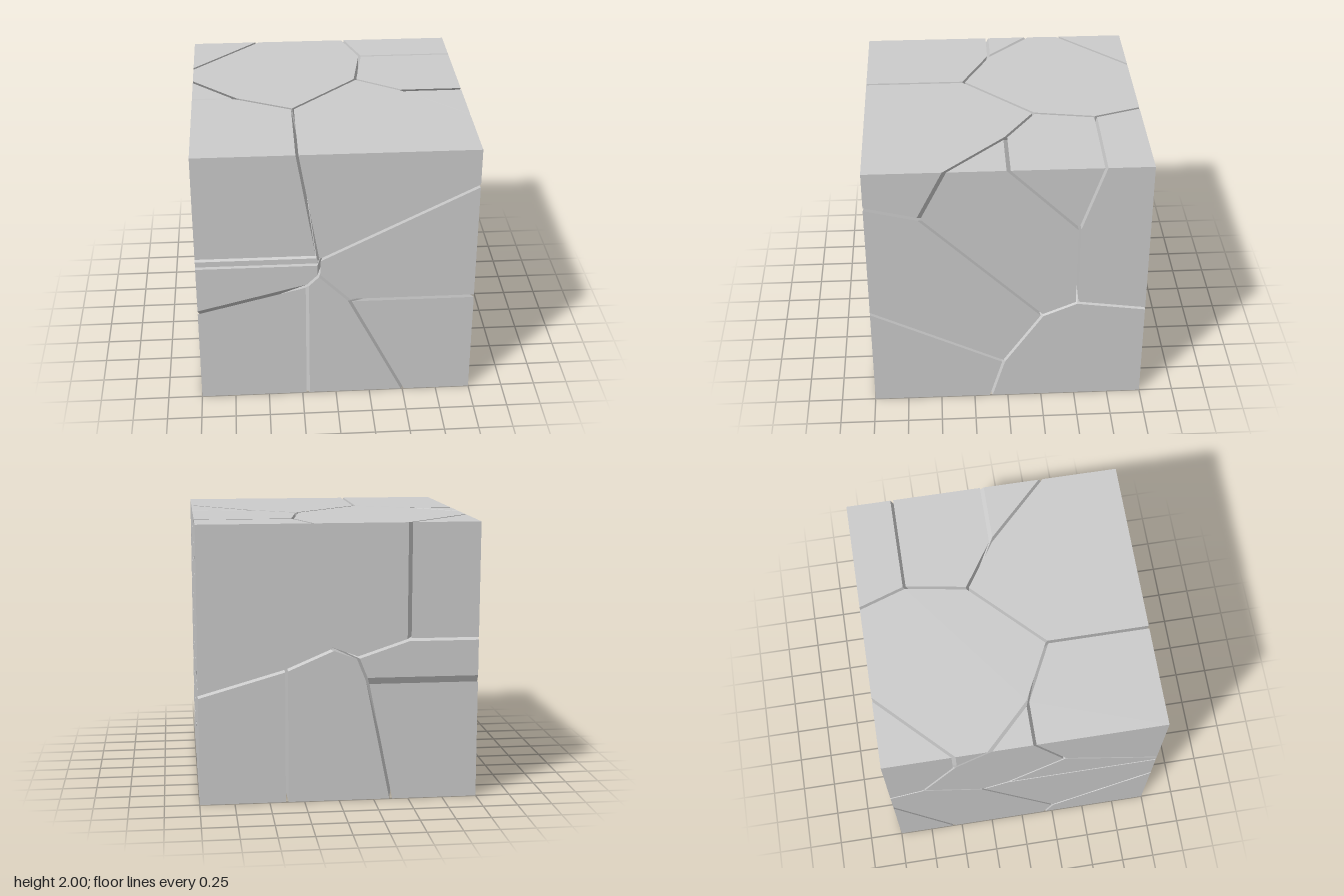
import * as THREE from 'three';

const GRID = 0.25; // block centres sit on a quarter-unit lattice
const GAP = 0.02; // width of the cracks

// Centre of each block, in lattice steps
const blocks = {
  topFrontRightBlock: [-4, 7, 2],
  topFrontLeftBlock: [2, 8, 2],
  topCentreBlock: [-2, 8, -2],
  topBackRightBlock: [-4, 8, -4],
  topBackLeftBlock: [4, 7, -4],
  topLeftWedge: [4, 8, -1],
  topRightWedge: [-4, 6, 0],
  middleLeftBlock: [4, 7, 0],
  middleFrontLeftBlock: [4, 4, 3],
  middleFrontRightBlock: [-4, 4, 1],
  middleRightSliver: [-4, 5, 1],
  middleBackRightBlock: [-4, 2, -2],
  bottomFrontLeftBlock: [4, 2, 4],
  bottomFrontBlock: [0, 0, 2],
  bottomFrontRightBlock: [-3, 0, 4],
  bottomBackLeftBlock: [2, 0, -3],
  bottomBackBlock: [1, 0, -3],
  bottomBackRightBlock: [-4, 1, -4],
};

const vec = (a) => new THREE.Vector3(...a);

// Outer faces of the cube; the inside is where normal . p <= d
const cubePlanes = [
  { n: vec([1, 0, 0]), d: 1 }, { n: vec([-1, 0, 0]), d: 1 },
  { n: vec([0, 1, 0]), d: 2 }, { n: vec([0, -1, 0]), d: 0 },
  { n: vec([0, 0, 1]), d: 1 }, { n: vec([0, 0, -1]), d: 1 },
];

// Crack face of one block: halfway to its neighbour, set back by half the gap
function crackPlane(seed, other) {
  const n = other.clone().sub(seed).normalize();
  const mid = seed.clone().add(other).multiplyScalar(0.5);
  return { n, d: n.dot(mid) - GAP / 2 };
}

// Point shared by three planes, or null if they do not meet in one point
function meet(a, b, c) {
  const bc = b.n.clone().cross(c.n);
  const det = a.n.dot(bc);
  if (Math.abs(det) < 1e-6) return null;
  return bc.multiplyScalar(a.d)
    .addScaledVector(c.n.clone().cross(a.n), b.d)
    .addScaledVector(a.n.clone().cross(b.n), c.d)
    .divideScalar(det);
}

// Corners of the convex solid bounded by the planes
function findCorners(planes) {
  const corners = [];
  for (let i = 0; i < planes.length; i++)
    for (let j = i + 1; j < planes.length; j++)
      for (let k = j + 1; k < planes.length; k++) {
        const p = meet(planes[i], planes[j], planes[k]);
        if (!p || planes.some(({ n, d }) => n.dot(p) > d + 1e-6)) continue;
        if (!corners.some((q) => q.distanceTo(p) < 1e-5)) corners.push(p);
      }
  return corners;
}

// Each plane's corners are sorted around its normal and filled as a fan
function solidFromPlanes(planes) {
  const corners = findCorners(planes);
  const positions = [];
  for (const { n, d } of planes) {
    const ring = corners.filter((p) => Math.abs(n.dot(p) - d) < 1e-5);
    if (ring.length < 3) continue;
    const centre = ring.reduce((s, p) => s.add(p), new THREE.Vector3()).divideScalar(ring.length);
    const u = ring[0].clone().sub(centre).normalize();
    const v = n.clone().cross(u);
    const angle = (p) => {
      const r = p.clone().sub(centre);
      return Math.atan2(r.dot(v), r.dot(u));
    };
    ring.sort((p, q) => angle(p) - angle(q));
    for (let i = 1; i < ring.length - 1; i++)
      for (const p of [ring[0], ring[i], ring[i + 1]]) positions.push(p.x, p.y, p.z);
  }
  const geometry = new THREE.BufferGeometry();
  geometry.setAttribute('position', new THREE.Float32BufferAttribute(positions, 3));
  geometry.computeVertexNormals();
  return geometry;
}

export function createModel() {
  const group = new THREE.Group();
  group.name = 'fracturedCube';
  const material = new THREE.MeshStandardMaterial({ color: 0xcccccc, flatShading: true });
  const seeds = Object.values(blocks).map((a) => vec(a).multiplyScalar(GRID));

  Object.keys(blocks).forEach((name, i) => {
    const cracks = seeds.filter((_, j) => j !== i).map((other) => crackPlane(seeds[i], other));
    const mesh = new THREE.Mesh(solidFromPlanes([...cubePlanes, ...cracks]), material);
    mesh.name = name;
    group.add(mesh);
  });
  return group;
}
